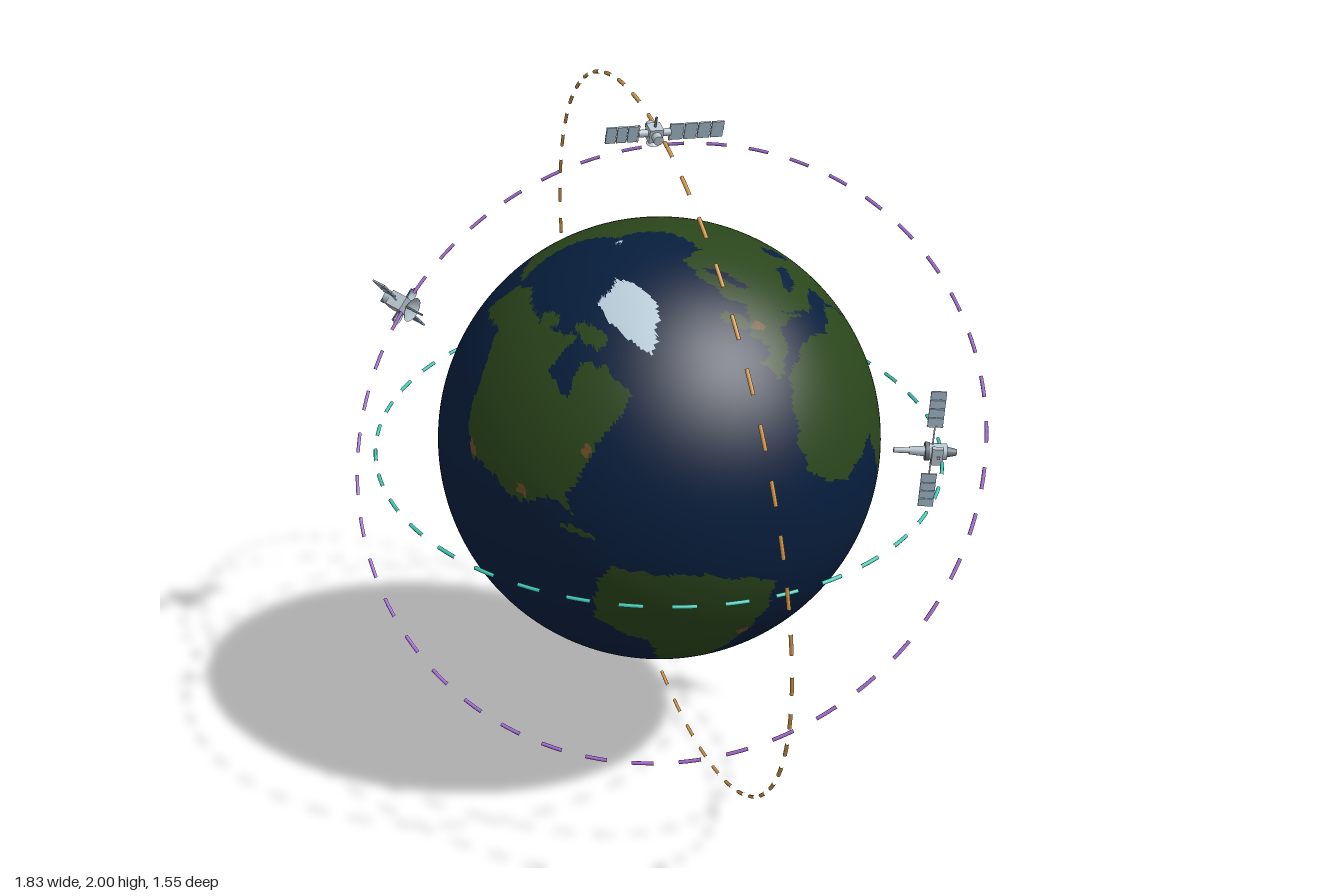
import * as THREE from 'three';
import { mergeGeometries } from 'three/addons/utils/BufferGeometryUtils.js';

const V = (x, y, z) => new THREE.Vector3(x, y, z);
const RAD = Math.PI / 180;
const mat = (name, color) => Object.assign(new THREE.MeshStandardMaterial({ color }), { name });

// Rough coast outlines as longitude, latitude pairs
const northAmerica = [-167,66, -156,71, -128,70, -95,68.5, -82,69, -94,60, -82,53, -78,62, -65,60, -56,52, -70,43,
  -81,31, -80.5,25.5, -84,30, -97,27, -107,31.5, -117,32.5, -124,40, -128,51, -140,60, -163,55];
const southAmerica = [-77,8, -72,12, -52,5, -35,-6, -39,-18, -48,-27, -58,-37, -66,-45, -68,-55, -75,-48, -70,-18, -81,-5];
const eurasia = [-9,37, -9,43, -2,43.5, -4,48.5, 8,54, 6,59, 14,67, 28,71, 42,66, 68,69, 104,77.5, 140,72.5, 190,66,
  164,60, 157,51, 156,60, 136,54.5, 140,48, 128,40, 127,34.5, 125,39.5, 118,38.5, 122,30, 107,20, 109,12, 100,13,
  103,2, 97,16, 90,22, 80,15, 77.5,8, 72,21, 57,26, 48,30, 59,22, 44,13, 35,28, 36,36.5, 27,37, 23,37, 14,45.5,
  18,40, 9,44, 0,39.5];
const africa = [-6,36, 10,37, 20,31, 33,31, 43,12, 51,12, 40,-4, 40,-15, 35,-22, 27,-34, 19,-34.5, 12,-17, 9,0, 9,4.5,
  -8,4.5, -17,14.5, -16,23, -10,31];
const australia = [114,-23, 130,-12, 136,-12, 140,-17.5, 142.5,-11, 153,-27, 147,-38.5, 135,-34, 130,-31.5, 116,-35];
const greenland = [-70,78, -35,83.5, -20,80, -22,71, -43,60, -54,68];
const continents = [northAmerica, southAmerica, eurasia, africa, australia];

// Ovals: longitude, latitude, half length, half width in degrees, turn
const oval = (lon, lat, a, b, turn = 0) => ({ lon, lat, a, b, turn: turn * RAD });
const islands = [
  oval(-73, 68.5, 5, 2.2, -40), oval(-110, 71, 3, 2), oval(-79, 21.7, 4.5, 0.8, -20), oval(-2, 54, 4, 1.8, 110),
  oval(47, -19, 6.5, 2, 75), oval(140, -5, 9, 2.5, -25), oval(114, 1, 5, 3.5, 50), oval(101, 0, 7.5, 1.6, -50),
  oval(110, -7.3, 4.5, 0.9, -8), oval(121, -2, 3.5, 1.3, 80), oval(122, 12, 6.5, 1.6, -65), oval(137, 36, 7, 1.4, 45),
  oval(142.5, 43.5, 2, 1.3), oval(172, -41, 6.5, 1.4, 48),
];
const seas = [oval(34, 43.3, 5.5, 1.9), oval(51, 42, 4.5, 2, 100), oval(19.5, 60, 5.5, 1.3, 75)];
const iceSpots = [oval(-65, -67, 3, 1.6), oval(97, 79.5, 0.9, 0.7)];
const cities = [[-118, 34], [-74.5, 41], [-95, 30], [-46.5, -23], [2, 49], [77, 28], [88, 23], [120.5, 31], [139, 36], [107, -6.5]]
  .map(([lon, lat]) => oval(lon, lat, 1.4, 1.4));

function inOutline(pts, lon, lat) {
  let hit = false;
  for (let i = 0, j = pts.length - 2; i < pts.length; j = i, i += 2) {
    const [x1, y1, x2, y2] = [pts[i], pts[i + 1], pts[j], pts[j + 1]];
    if ((y1 > lat) !== (y2 > lat) && lon < (x2 - x1) * (lat - y1) / (y2 - y1) + x1) hit = !hit;
  }
  return hit;
}

function inOval(o, lon, lat) {
  const x = (lon - o.lon) * Math.cos(lat * RAD), y = lat - o.lat;
  const c = Math.cos(o.turn), s = Math.sin(o.turn);
  return Math.hypot((x * c + y * s) / o.a, (y * c - x * s) / o.b) < 1;
}

// 0 ocean, 1 land, 2 ice, 3 city; small waves roughen the coasts
function surfaceAt(lon, lat) {
  const x = lon + 0.5 * Math.sin(lat * 0.9) + 0.25 * Math.sin(lat * 2.3 + lon);
  const y = lat + 0.4 * Math.sin(lon * 0.8) + 0.2 * Math.sin(lon * 2.1 + lat);
  const covers = o => inOval(o, x, y);
  const southCap = -73 + 1.8 * Math.cos((lon - 15) * RAD);
  if (lat < southCap || inOutline(greenland, x, y) || iceSpots.some(covers)) return 2;
  if (cities.some(covers)) return 3;
  const mainland = continents.some(c => inOutline(c, x, y) || inOutline(c, x + 360, y));
  return (mainland && !seas.some(covers)) || islands.some(covers) ? 1 : 0;
}

// Tilted globe whose faces are sorted into surface groups
function makeGlobe(materials) {
  const geo = new THREE.SphereGeometry(0.604, 320, 160);
  const pos = geo.attributes.position, idx = geo.index.array;
  const lists = [[], [], [], []];
  const c = V(), p = V();
  for (let i = 0; i < idx.length; i += 3) {
    c.set(0, 0, 0);
    for (let k = 0; k < 3; k++) c.add(p.fromBufferAttribute(pos, idx[i + k]));
    c.normalize();
    let lon = Math.atan2(c.x, c.z) / RAD - 107.5;
    if (lon < -180) lon += 360;
    lists[surfaceAt(lon, Math.asin(c.y) / RAD)].push(idx[i], idx[i + 1], idx[i + 2]);
  }
  geo.setIndex(lists.flat());
  let start = 0;
  lists.forEach((l, i) => { geo.addGroup(start, l.length, i); start += l.length; });
  const globe = new THREE.Mesh(geo, materials);
  globe.name = 'globe';
  const north = V(0.09, 0.913, 0.398).normalize();
  const east = V(1, 0, 0).addScaledVector(north, -north.x).normalize();
  const front = V().crossVectors(east, north);
  globe.quaternion.setFromRotationMatrix(new THREE.Matrix4().makeBasis(east, north, front));
  return globe;
}

// Ring of short curved dashes
function makeOrbit(name, normal, radius, count, material) {
  const dashes = [], step = Math.PI * 2 / count;
  for (let i = 0; i < count; i++) {
    dashes.push(new THREE.TorusGeometry(radius, 0.005, 8, 3, step * 0.47).rotateZ(i * step));
  }
  const ring = new THREE.Mesh(mergeGeometries(dashes), material);
  ring.name = name;
  ring.quaternion.setFromUnitVectors(V(0, 0, 1), normal);
  return ring;
}

// Satellite frame: x along the path, y away from the globe, z along the orbit normal
function makeSatellite(name, normal, position, tilt, wings, m, buildBody) {
  const g = new THREE.Group();
  g.name = name;
  const out = position.clone().addScaledVector(normal, -position.dot(normal)).normalize();
  const along = V().crossVectors(out, normal);
  g.quaternion.setFromRotationMatrix(new THREE.Matrix4().makeBasis(along, out, normal));
  g.rotateX(tilt);
  g.position.copy(position);
  const add = (part, geo, material, x = 0, y = 0, z = 0) => {
    const mesh = new THREE.Mesh(geo, material);
    mesh.name = part;
    mesh.position.set(x, y, z);
    g.add(mesh);
    return mesh;
  };
  // Solar wings: slim spar with a row of separate cells
  for (const [from, to] of wings) {
    const n = Math.max(3, Math.round(Math.abs(to - from) / 0.03)), cell = (to - from) / n;
    add('wingSpar', new THREE.BoxGeometry(0.003, 0.004, Math.abs(to)), m.metal, 0, 0, to / 2);
    for (let i = 0; i < n; i++) {
      add('solarCell', new THREE.BoxGeometry(0.005, 0.042, Math.abs(cell) * 0.9), m.panel, 0, 0, from + cell * (i + 0.5));
    }
    add('wingEdge', new THREE.BoxGeometry(0.006, 0.044, 0.004), m.metal, 0, 0, from);
  }
  buildBody(add);
  return g;
}

export function createModel() {
  const m = {
    ocean: mat('ocean', 0x071e3d), land: mat('land', 0x2a451b), ice: mat('ice', 0xbcd0dd), city: mat('city', 0x6e4c28),
    teal: mat('tealOrbit', 0x40cdb8), amber: mat('amberOrbit', 0xd89a48), violet: mat('violetOrbit', 0xa86cd6),
    metal: mat('metal', 0xb9c6d0), panel: mat('panel', 0xa8bfd0), dark: mat('darkMetal', 0x6c7882),
  };
  m.metal.side = THREE.DoubleSide; // open dishes
  const root = new THREE.Group();
  root.name = 'globeWithSatellites';
  const centre = new THREE.Group();
  centre.name = 'globeAndOrbits';
  centre.position.y = 1;
  root.add(centre);

  const tealN = V(0.135, 1, 0.09).normalize();
  const amberN = V(-0.43, -0.116, 0.897).normalize();
  const violetN = V(0.409, 0.612, 0.677).normalize();
  const cyl = (r1, r2, h) => new THREE.CylinderGeometry(r1, r2, h, 16);
  const dish = r => new THREE.LatheGeometry([0, 0.35, 0.7, 1].map(t => new THREE.Vector2(t * r, -t * t * r * 0.45)), 18);

  centre.add(
    makeGlobe([m.ocean, m.land, m.ice, m.city]),
    makeOrbit('tealOrbit', tealN, 0.772, 38, m.teal),
    makeOrbit('amberOrbit', amberN, 1.0, 50, m.amber),
    makeOrbit('violetOrbit', violetN, 0.885, 44, m.violet),

    // Small module station above the globe
    makeSatellite('upperSatellite', amberN, V(0.283, 0.932, 0.275), -0.14, [[0.04, 0.12], [-0.04, -0.175]], m, add => {
      add('body', new THREE.BoxGeometry(0.034, 0.034, 0.034), m.metal);
      add('module', cyl(0.012, 0.012, 0.07), m.metal).rotation.z = Math.PI / 2;
      add('hub', cyl(0.009, 0.009, 0.08), m.metal).rotation.x = Math.PI / 2;
      add('dish', dish(0.016), m.metal, 0, -0.022, 0);
      add('antenna', cyl(0.003, 0.003, 0.06), m.dark, 0, 0.012, 0);
    }),

    // Relay craft with dishes facing the globe
    makeSatellite('sideSatellite', violetN, V(-0.835, 0.247, 0.268), 0, [[0.08, 0.165], [-0.08, -0.165]], m, add => {
      add('body', new THREE.BoxGeometry(0.045, 0.05, 0.055), m.metal);
      add('collar', cyl(0.018, 0.026, 0.03), m.metal, 0, 0.035, 0);
      add('mainDish', dish(0.038), m.metal, 0, -0.03, 0);
      add('feed', cyl(0.003, 0.003, 0.06), m.dark, 0, -0.055, 0);
      for (const s of [-1, 1]) {
        add('sideDish', dish(0.022), m.metal, s * 0.04, -0.012, 0);
        add('dishArm', new THREE.BoxGeometry(0.05, 0.005, 0.005), m.dark, s * 0.03, -0.01, 0);
        add('thruster', cyl(0.007, 0.004, 0.03), m.dark, s * 0.015, 0.04, 0);
      }
    }),

    // Long instrument craft pointing at the globe
    makeSatellite('rearSatellite', tealN, V(0.525, -0.028, -0.532), 0, [[0.08, 0.19], [-0.075, -0.18]], m, add => {
      add('body', cyl(0.023, 0.023, 0.055), m.metal, 0, 0.012, 0);
      add('frontRing', cyl(0.026, 0.026, 0.012), m.dark, 0, -0.014, 0);
      add('tube', cyl(0.015, 0.011, 0.045), m.metal, 0, -0.04, 0);
      add('boom', cyl(0.008, 0.008, 0.05), m.metal, 0, -0.08, 0);
      add('nozzle', cyl(0.009, 0.016, 0.03), m.dark, 0, 0.052, 0);
      add('crossArm', new THREE.BoxGeometry(0.075, 0.008, 0.008), m.metal, 0, 0.015, 0);
      add('sidePod', new THREE.BoxGeometry(0.016, 0.03, 0.05), m.metal, 0.024, 0.012, 0);
    }),
  );
  return root;
}
